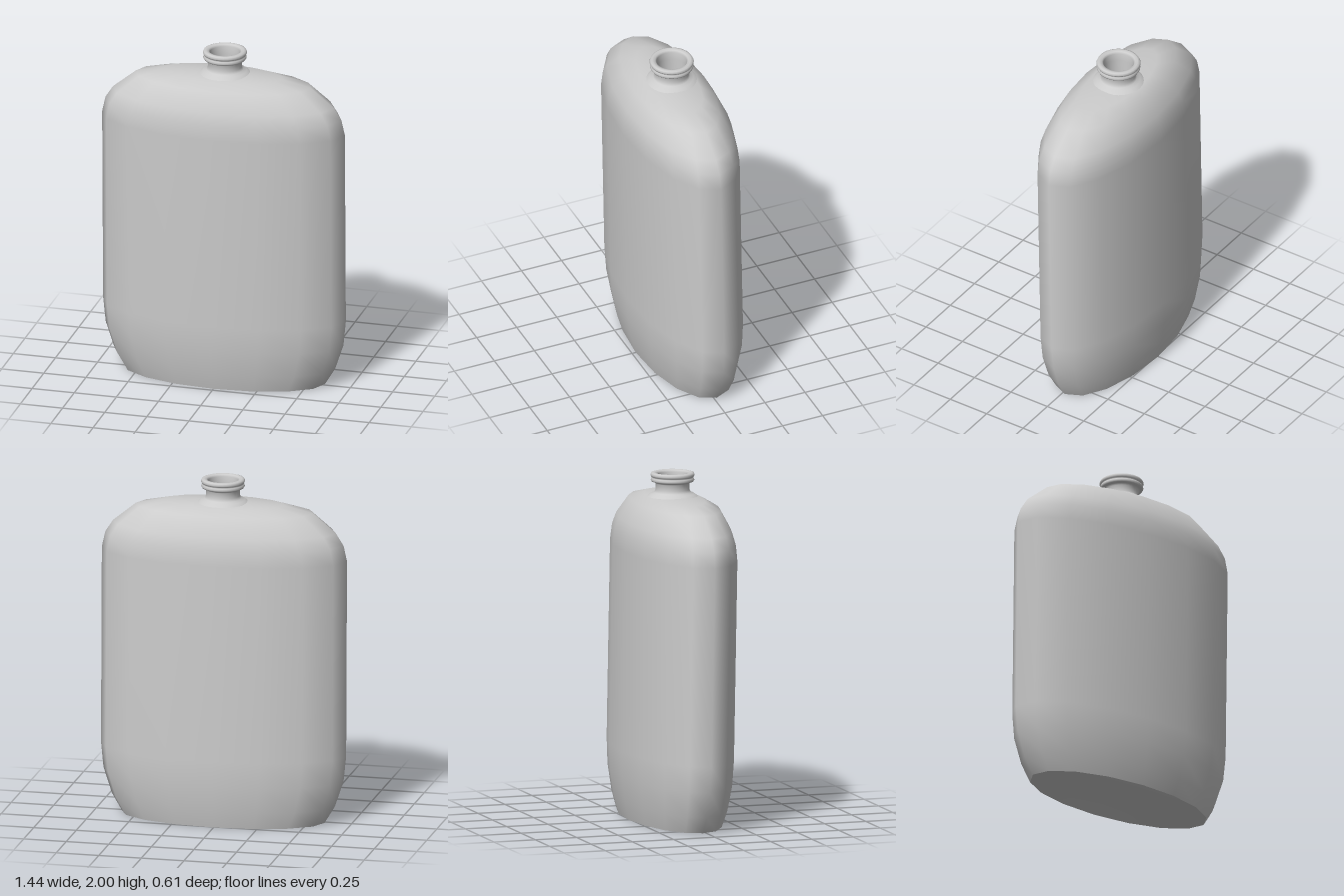
import * as THREE from 'three';

const material = new THREE.MeshStandardMaterial({ color: 0xcccccc, side: THREE.DoubleSide });

function lathe(name, points, segments) {
  const geometry = new THREE.LatheGeometry(points.map(([r, y]) => new THREE.Vector2(r, y)), segments);
  const mesh = new THREE.Mesh(geometry, material);
  mesh.name = name;
  return mesh;
}

// Squash a round part to the flat oval plan and lean it slightly forward
function flatten(mesh) {
  const depth = 0.41, lean = 0.018;
  mesh.geometry.applyMatrix4(new THREE.Matrix4().set(
    1, 0, 0, 0,
    0, 1, 0, 0,
    0, lean, depth, -lean * 0.95,
    0, 0, 0, 1));
  return mesh;
}

export function createModel() {
  const group = new THREE.Group();
  group.name = 'flask';

  // Oval body with rounded shoulders and a small opening below the neck
  group.add(flatten(lathe('body', [
    [0.595, 0], [0.655, 0.1], [0.705, 0.25], [0.72, 0.4],
    [0.72, 1.55], [0.7, 1.64], [0.655, 1.71], [0.52, 1.82],
    [0.35, 1.857], [0.12, 1.866],
  ], 16)));

  // Base pushed gently inward
  group.add(flatten(lathe('base', [
    [0, 0.06], [0.12, 0.058], [0.3, 0.042], [0.47, 0.018], [0.595, 0],
  ], 16)));

  // Hollow neck: flared skirt, waist, two rolled lips, inner wall
  const neck = lathe('neck', [
    [0.145, 1.862], [0.125, 1.876], [0.105, 1.884], [0.097, 1.9], [0.097, 1.935],
    [0.108, 1.943], [0.12, 1.947], [0.125, 1.956], [0.121, 1.967], [0.116, 1.971],
    [0.122, 1.975], [0.127, 1.985], [0.122, 1.996], [0.11, 2], [0.094, 1.996],
    [0.086, 1.985], [0.085, 1.94], [0.085, 1.862],
  ], 32);
  neck.position.set(0.007, 0, 0.006);
  group.add(neck);

  return group;
}
